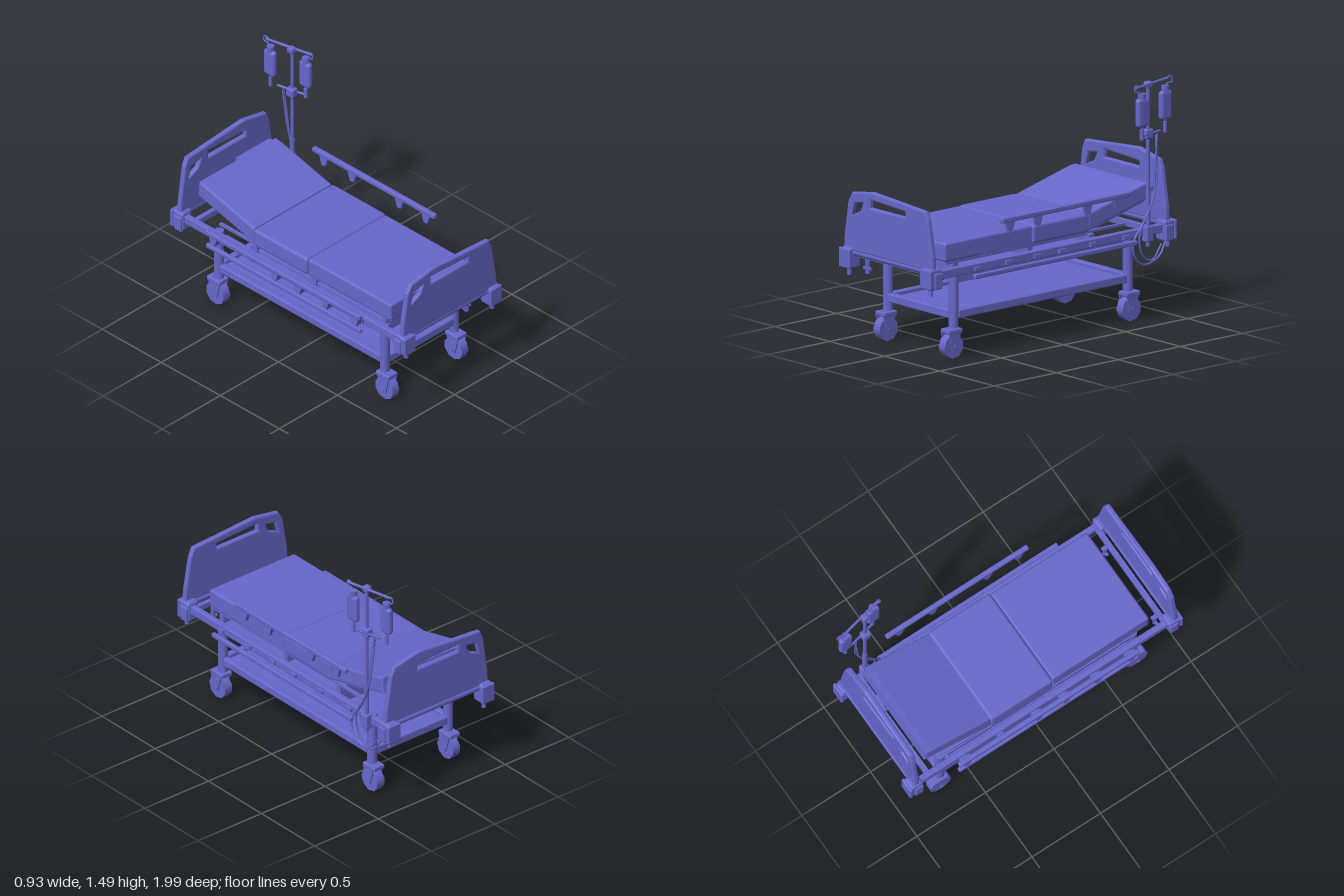
import * as THREE from 'three';
import { RoundedBoxGeometry } from 'three/addons/geometries/RoundedBoxGeometry.js';

const V = (x, y, z) => new THREE.Vector3(x, y, z);

export function createModel() {
  const bed = new THREE.Group();
  bed.name = 'hospitalBed';
  const blue = new THREE.MeshStandardMaterial({ color: 0x6868cc, side: THREE.DoubleSide });
  blue.name = 'periwinkle';

  const add = (name, geo, x = 0, y = 0, z = 0) => {
    const m = new THREE.Mesh(geo, blue);
    m.name = name;
    m.position.set(x, y, z);
    bed.add(m);
    return m;
  };
  // box given by its limits on each axis
  const box = (name, x0, x1, y0, y1, z0, z1, r = 0) => {
    const s = [x1 - x0, y1 - y0, z1 - z0];
    const geo = r ? new RoundedBoxGeometry(...s, 2, r) : new THREE.BoxGeometry(...s);
    return add(name, geo, (x0 + x1) / 2, (y0 + y1) / 2, (z0 + z1) / 2);
  };
  // round bar between two points
  const bar = (name, a, b, r, sides = 10) => {
    const d = b.clone().sub(a);
    const m = add(name, new THREE.CylinderGeometry(r, r, d.length(), sides));
    m.position.copy(a).add(b).multiplyScalar(0.5);
    m.quaternion.setFromUnitVectors(V(0, 1, 0), d.normalize());
    return m;
  };
  const tube = (name, pts, r) =>
    add(name, new THREE.TubeGeometry(new THREE.CatmullRomCurve3(pts), 32, r, 6));
  const toPts = (list) => list.map(([x, y]) => new THREE.Vector2(x, y));
  // side profile (z, y) extruded across x
  const profile = (name, pts, x0, x1, bevel = 0) => {
    const geo = new THREE.ExtrudeGeometry(new THREE.Shape(toPts(pts)), {
      depth: x1 - x0 - 2 * bevel, bevelEnabled: bevel > 0,
      bevelSize: bevel, bevelThickness: bevel, bevelOffset: -bevel, bevelSegments: 2,
    });
    geo.rotateY(-Math.PI / 2);
    return add(name, geo, x1 - bevel);
  };

  // mattress sections and the raised backrest
  box('footMattress', -0.345, 0.325, 0.61, 0.727, 0.095, 0.80, 0.015);
  box('seatMattress', -0.355, 0.333, 0.61, 0.73, -0.36, 0.095, 0.02);
  profile('backMattress', [[-0.35, 0.615], [-0.84, 0.74], [-0.83, 0.84], [-0.79, 0.835], [-0.36, 0.727]],
    -0.345, 0.325, 0.012);
  profile('backSupport', [[-0.36, 0.60], [-0.83, 0.72], [-0.83, 0.735], [-0.36, 0.615]], -0.31, 0.30);
  box('backrestHandle', 0.03, 0.32, 0.78, 0.81, -0.885, -0.86);
  bar('backrestStrut', V(0.25, 0.60, -0.35), V(0.25, 0.73, -0.83), 0.012);
  bar('backrestStrut', V(-0.25, 0.60, -0.35), V(-0.25, 0.73, -0.83), 0.012);
  box('deck', -0.32, 0.31, 0.59, 0.61, -0.36, 0.78);
  for (const x of [-0.33, 0.315]) box('deckEdge', x - 0.01, x + 0.01, 0.605, 0.62, -0.66, 0.5);

  // main frame
  for (const x of [-0.38, 0.37]) {
    box('sideRail', x - 0.02, x + 0.02, 0.53, 0.585, -0.93, 0.93, 0.008);
    for (const z of [0.6, 0.35, 0.12, -0.08, -0.33, -0.6])
      box('railClip', x - 0.035, x + 0.035, 0.54, 0.565, z - 0.025, z + 0.025);
    box('lowerSideRail', x * 0.79 - 0.02, x * 0.79 + 0.02, 0.475, 0.51, -0.65, 0.72);
  }
  for (const z of [0.895, -0.835]) box('crossRail', -0.37, 0.36, 0.54, 0.575, z - 0.016, z + 0.016);
  for (const z of [0.945, -0.94]) bar('endBar', V(-0.38, 0.58, z), V(0.37, 0.58, z), 0.022);
  for (const z of [0.70, 0.1, -0.4]) box('underBeam', -0.30, 0.31, 0.475, 0.59, z - 0.02, z + 0.02);
  box('underTray', -0.29, 0.30, 0.52, 0.535, -0.40, 0.70);

  // corner bumpers wrap the four ends of the frame
  for (const sx of [-1, 1]) for (const sz of [-1, 1]) {
    const cx = sx * 0.37 - 0.005;
    box('bumperCore', cx - 0.045, cx + 0.045, 0.475, 0.61, sz * 0.94 - 0.045, sz * 0.94 + 0.045, 0.02);
    box('bumperEnd', cx - 0.05, cx + 0.05, 0.48, 0.605, sz * 0.985 - 0.012, sz * 0.985 + 0.012, 0.01);
    box('bumperSide', cx + sx * 0.045 - 0.01, cx + sx * 0.045 + 0.01, 0.48, 0.58, sz * 0.93 - 0.03, sz * 0.93 + 0.03, 0.008);
    bar('bumperPin', V(sx * 0.37, 0.435, sz * 0.955), V(sx * 0.37, 0.49, sz * 0.955), 0.014);
  }
  for (const x of [-0.30, 0.235]) {
    bar('frontHook', V(x, 0.44, 0.87), V(x, 0.54, 0.87), 0.016, 6);
    bar('frontHookArm', V(x - 0.03, 0.47, 0.87), V(x + 0.03, 0.47, 0.87), 0.012, 6);
  }

  // head and foot boards with a grip slot and a corner opening
  const board = (name, outline, drop, z) => {
    const shape = new THREE.Shape(toPts(outline));
    const holes = [
      [[-0.17, 0.895], [0.15, 0.895], [0.15, 0.93], [-0.17, 0.945]],
      [[-0.335, 0.825], [-0.26, 0.86], [-0.235, 0.915], [-0.315, 0.9]],
    ];
    for (const h of holes) shape.holes.push(new THREE.Path(toPts(h.map(([x, y]) => [x, y - drop]))));
    add(name, new THREE.ExtrudeGeometry(shape, {
      depth: 0.016, bevelSize: 0.01, bevelThickness: 0.01, bevelOffset: -0.01, bevelSegments: 2,
    }), 0, 0, z - 0.008);
  };
  board('headboard', [[-0.41, 0.59], [0.40, 0.59], [0.395, 0.68], [0.355, 0.92], [0.33, 0.975],
    [0.14, 1.015], [-0.345, 0.975], [-0.37, 0.92], [-0.405, 0.68]], 0, -0.935);
  board('footboard', [[-0.41, 0.59], [0.40, 0.59], [0.395, 0.68], [0.355, 0.90], [0.33, 0.955],
    [-0.15, 0.985], [-0.335, 0.955], [-0.37, 0.90], [-0.405, 0.68]], 0.01, 0.95);

  // legs, casters and the lower shelf
  for (const x of [-0.30, 0.295]) {
    for (const [z, wz] of [[0.705, 0.725], [-0.70, -0.708]]) {
      bar('leg', V(x, 0.19, z), V(x, 0.53, z), 0.031, 12);
      bar('casterStem', V(x, 0.15, z), V(x, 0.21, z), 0.022);
      box('casterTop', x - 0.042, x + 0.042, 0.155, 0.185, wz - 0.06, wz + 0.05, 0.008);
      for (const s of [-1, 1]) profile('casterFork',
        [[wz - 0.05, 0.17], [wz + 0.05, 0.17], [wz + 0.025, 0.055], [wz - 0.015, 0.055]],
        x + s * 0.036 - 0.004, x + s * 0.036 + 0.004);
      bar('wheel', V(x - 0.028, 0.076, wz), V(x + 0.028, 0.076, wz), 0.076, 9);
      bar('axle', V(x - 0.046, 0.075, wz), V(x + 0.046, 0.075, wz), 0.014, 8);
    }
    box('lowerBeam', x - 0.022, x + 0.022, 0.24, 0.295, -0.68, 0.68, 0.01);
  }
  for (const z of [-0.70, 0.705]) box('lowerCrossBeam', -0.29, 0.285, 0.24, 0.295, z - 0.022, z + 0.022, 0.01);
  box('shelf', -0.29, 0.285, 0.255, 0.27, -0.69, 0.69);

  // lowered guard on the right, raised guard on the left
  const guard = (x, y, z0, z1, zs, xIn) => {
    box('guardRail', x - 0.016, x + 0.016, y - 0.016, y + 0.016, z0, z1, 0.008);
    for (const z of zs) profile('guardBracket',
      [[z - 0.035, y - 0.012], [z + 0.035, y - 0.012], [z + 0.015, y - 0.075], [z - 0.015, y - 0.075]],
      Math.min(x, xIn) - 0.008, Math.max(x, xIn) + 0.008);
  };
  guard(-0.45, 0.615, -0.66, 0.65, [-0.6, -0.08, 0.12, 0.35, 0.6], -0.425);
  guard(0.415, 0.825, -0.605, 0.43, [0.355, 0.13, -0.27, -0.51], 0.41);
  for (const x of [-0.445, 0.42]) box('lowerGuardBar', x - 0.014, x + 0.014, 0.50, 0.53, -0.66, 0.65, 0.008);

  // drip stand: pole, clamp and slanted top arm
  bar('pole', V(0.40, 0.47, -0.77), V(0.40, 1.49, -0.77), 0.012);
  box('poleSocket', 0.375, 0.425, 0.50, 0.60, -0.80, -0.74, 0.01);
  bar('poleSleeve', V(0.40, 0.60, -0.77), V(0.40, 0.82, -0.77), 0.016);
  box('poleClamp', 0.37, 0.42, 1.14, 1.20, -0.80, -0.74, 0.01);
  box('poleCap', 0.375, 0.42, 1.455, 1.495, -0.795, -0.75, 0.01);
  bar('topArm', V(0.368, 1.48, -0.96), V(0.44, 1.48, -0.64), 0.009, 8);
  for (const [x, z, s] of [[0.375, -0.93, -1], [0.435, -0.69, 1]]) {
    tube('bagHook', [V(x, 1.48, z), V(x, 1.49, z + s * 0.05), V(x, 1.455, z + s * 0.055),
      V(x, 1.45, z + s * 0.02), V(x, 1.42, z)], 0.005);
    box('dripBag', x - 0.022, x + 0.022, 1.23, 1.41, z - 0.045, z + 0.045, 0.02);
    bar('bagNeck', V(x, 1.40, z), V(x, 1.44, z), 0.025, 8);
    bar('bagOutlet', V(x, 1.20, z), V(x, 1.24, z), 0.006, 6);
    bar('dripChamber', V(x, 1.15, z), V(x, 1.215, z), 0.013, 8);
  }
  bar('clampArm', V(0.385, 1.17, -0.88), V(0.43, 1.17, -0.69), 0.008, 6);
  tube('dripLine', [V(0.40, 1.16, -0.845), V(0.41, 0.95, -0.82), V(0.415, 0.78, -0.80), V(0.41, 0.65, -0.74),
    V(0.41, 0.5, -0.64), V(0.41, 0.40, -0.67), V(0.405, 0.36, -0.75), V(0.405, 0.40, -0.86), V(0.40, 0.48, -0.91)], 0.006);
  tube('dripLine', [V(0.39, 1.15, -0.84), V(0.415, 0.9, -0.83), V(0.42, 0.75, -0.79), V(0.415, 0.55, -0.69),
    V(0.41, 0.42, -0.72), V(0.405, 0.38, -0.80), V(0.40, 0.47, -0.88)], 0.006);
  return bed;
}
